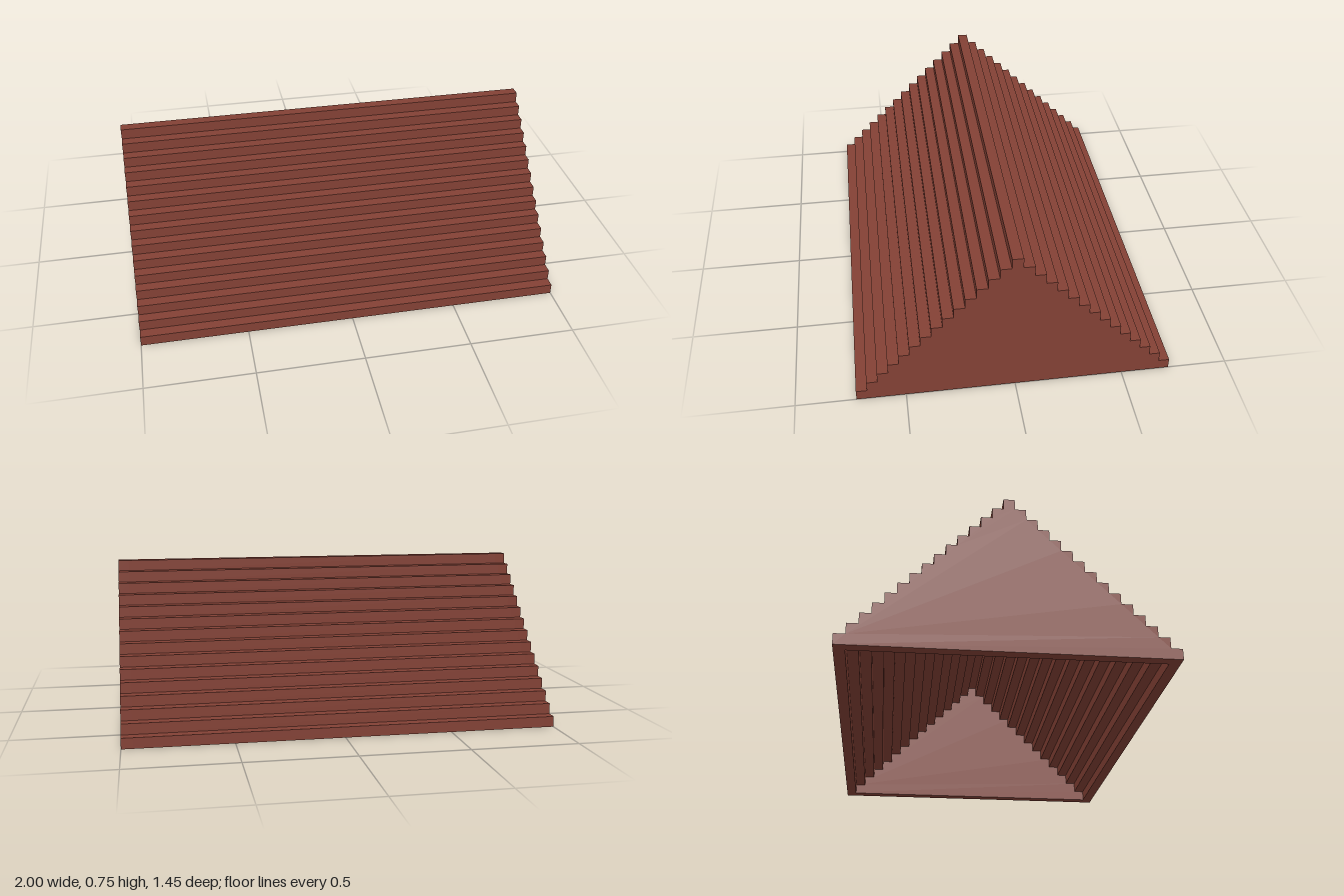
import * as THREE from 'three';

const LAYERS = 15, STEP = 0.05, LENGTH = 2;
const halfWidth = (i) => (LAYERS - i - 0.5) * STEP;

// Stepped triangle outline closing each end of the roof
function gableGeometry() {
  const right = [];
  for (let i = 0; i < LAYERS; i++) {
    right.push(new THREE.Vector2(halfWidth(i), i * STEP));
    right.push(new THREE.Vector2(halfWidth(i), (i + 1) * STEP));
  }
  const left = right.map((p) => new THREE.Vector2(-p.x, p.y)).reverse();
  const geometry = new THREE.ExtrudeGeometry(new THREE.Shape([...right, ...left]), {
    depth: STEP, bevelEnabled: false,
  });
  return geometry.rotateY(Math.PI / 2).translate(-STEP / 2, 0, 0);
}

export function createModel() {
  const roof = new THREE.Group();
  roof.name = 'steppedRoof';
  const brick = new THREE.MeshStandardMaterial({ name: 'brick red', color: 0x834135 });

  const add = (name, geometry, x, y, z) => {
    const mesh = new THREE.Mesh(geometry, brick);
    mesh.name = name;
    mesh.position.set(x, y, z);
    roof.add(mesh);
  };

  // Long courses climbing both slopes to the ridge; the space beneath is hollow
  const course = new THREE.BoxGeometry(LENGTH - 2 * STEP, STEP, STEP);
  for (let i = 0; i < LAYERS - 1; i++) {
    const y = (i + 0.5) * STEP, z = halfWidth(i) - STEP / 2;
    add('frontCourse', course, 0, y, z);
    add('backCourse', course, 0, y, -z);
  }
  add('ridge', course, 0, (LAYERS - 0.5) * STEP, 0);

  // End walls
  const gable = gableGeometry();
  add('leftGable', gable, (LENGTH - STEP) / 2, 0, 0);
  add('rightGable', gable, -(LENGTH - STEP) / 2, 0, 0);

  return roof;
}
